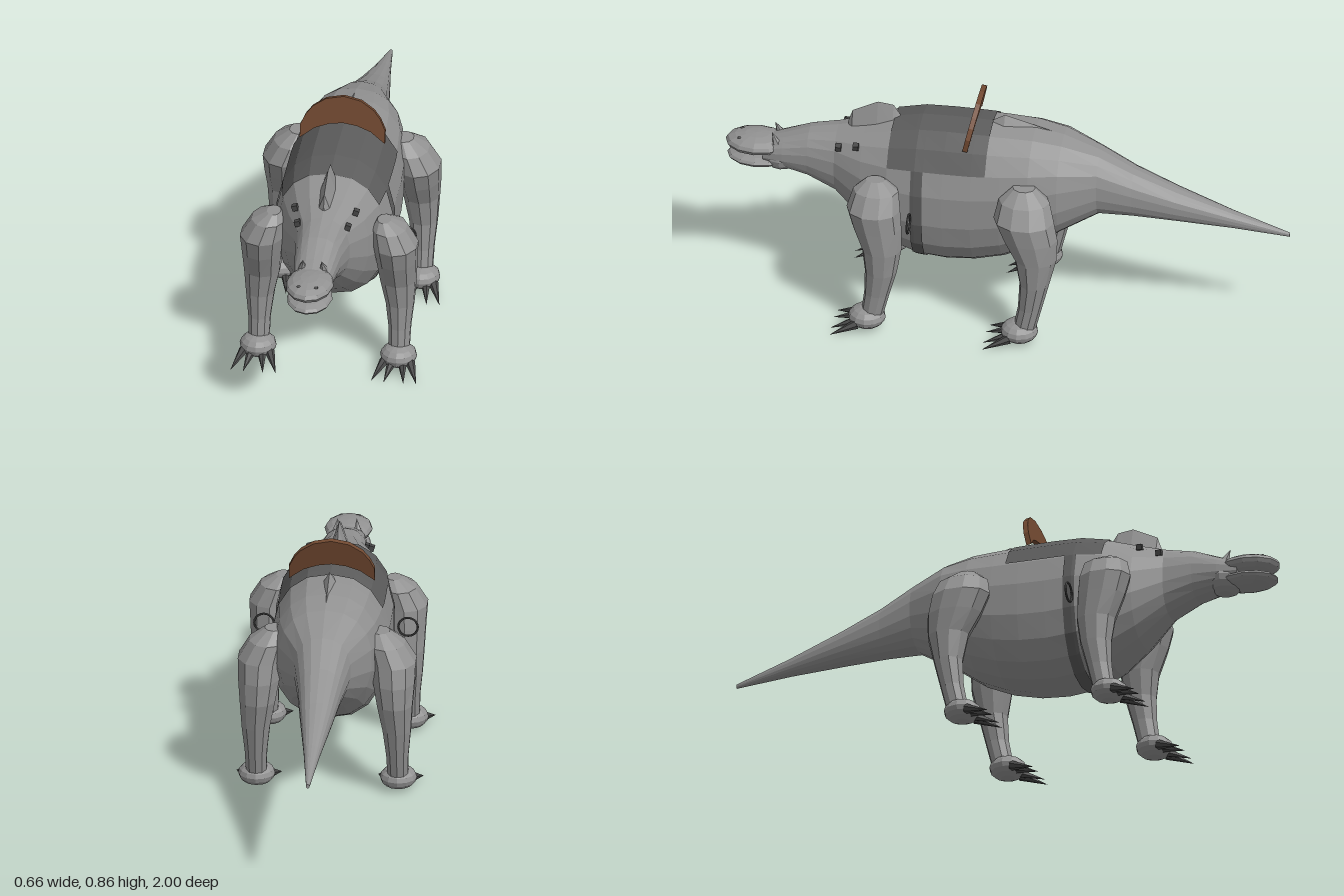
import * as THREE from 'three';

const mat = (name, color, extra = {}) => {
  const m = new THREE.MeshStandardMaterial({ color, flatShading: true, ...extra });
  m.name = name;
  return m;
};

// Body sections: z, top, bottom, half width
const BODY = [
  [-1, 0.4, 0.385, 0.006], [-0.8, 0.465, 0.405, 0.03], [-0.6, 0.54, 0.418, 0.058],
  [-0.45, 0.605, 0.425, 0.078], [-0.33, 0.67, 0.425, 0.1], [-0.2, 0.72, 0.35, 0.165],
  [-0.1, 0.74, 0.275, 0.19], [0, 0.745, 0.23, 0.2], [0.1, 0.747, 0.205, 0.206],
  [0.2, 0.748, 0.197, 0.206], [0.3, 0.745, 0.207, 0.205], [0.4, 0.725, 0.245, 0.19],
  [0.5, 0.695, 0.32, 0.15], [0.6, 0.67, 0.415, 0.098], [0.7, 0.65, 0.465, 0.082],
  [0.79, 0.615, 0.49, 0.072], [0.86, 0.59, 0.505, 0.06],
];
const SIDES = 18;

// Skin a list of rings (arrays of Vector3)
function loft(rings, closed = true) {
  const n = rings[0].length, pos = [], idx = [], wrap = closed ? n : n - 1;
  rings.forEach(r => r.forEach(p => pos.push(p.x, p.y, p.z)));
  for (let i = 0; i < rings.length - 1; i++) {
    for (let j = 0; j < wrap; j++) {
      const a = i * n + j, b = i * n + (j + 1) % n;
      idx.push(a, a + n, b, b, a + n, b + n);
    }
  }
  if (closed) {
    for (const k of [0, rings.length - 1]) {
      const c = rings[k].reduce((s, p) => s.add(p), new THREE.Vector3()).divideScalar(n);
      const ci = pos.length / 3;
      pos.push(c.x, c.y, c.z);
      for (let j = 0; j < n; j++) {
        const a = k * n + j, b = k * n + (j + 1) % n;
        k === 0 ? idx.push(ci, a, b) : idx.push(ci, b, a);
      }
    }
  }
  const g = new THREE.BufferGeometry();
  g.setAttribute('position', new THREE.Float32BufferAttribute(pos, 3));
  g.setIndex(idx);
  g.computeVertexNormals();
  return g;
}

const power = v => Math.sign(v) * Math.abs(v) ** 0.87;

// Body ring between two side indices, grown outward a little for fittings
function bodyRing([z, top, bottom, w], grow = 0, from = 0, to = SIDES - 1) {
  const pts = [], cy = (top + bottom) / 2, h = (top - bottom) / 2 + grow;
  for (let j = from; j <= to; j++) {
    const a = j / SIDES * Math.PI * 2;
    pts.push(new THREE.Vector3((w + grow) * power(Math.sin(a)), cy + h * power(Math.cos(a)), z));
  }
  return pts;
}

function sectionAt(z) {
  const i = Math.max(1, BODY.findIndex(s => s[0] >= z));
  const a = BODY[i - 1], b = BODY[i], t = (z - a[0]) / (b[0] - a[0]);
  return a.map((v, k) => v + (b[k] - v) * t);
}

// Band of cloth hugging the body from z0 to z1
function band(z0, z1, from, to) {
  const zs = [z0, ...BODY.map(s => s[0]).filter(z => z > z0 && z < z1), z1];
  return loft(zs.map(z => bodyRing(sectionAt(z), 0.004, from, to)), false);
}

// Leg sections from the top down: y, back z, front z, inner x, outer x
const FRONT_LEG = [
  [0.585, 0.4, 0.47, 0.17, 0.22], [0.555, 0.35, 0.51, 0.15, 0.275], [0.49, 0.34, 0.53, 0.155, 0.315],
  [0.42, 0.335, 0.51, 0.165, 0.31], [0.33, 0.335, 0.475, 0.175, 0.305], [0.24, 0.35, 0.463, 0.195, 0.298],
  [0.15, 0.375, 0.465, 0.207, 0.288], [0.07, 0.395, 0.475, 0.21, 0.285],
];
const HIND_LEG = [
  [0.605, -0.13, -0.05, 0.15, 0.22], [0.565, -0.185, -0.005, 0.14, 0.275], [0.5, -0.205, 0.01, 0.15, 0.315],
  [0.43, -0.218, -0.02, 0.16, 0.312], [0.35, -0.215, -0.065, 0.175, 0.305], [0.25, -0.19, -0.085, 0.195, 0.298],
  [0.15, -0.165, -0.08, 0.207, 0.288], [0.07, -0.145, -0.065, 0.21, 0.285],
];

export function createModel() {
  const root = new THREE.Group();
  root.name = 'saddledLizard';
  const hide = mat('hide', 0x929292);
  const cloth = mat('saddleCloth', 0x5c5c5c, { side: THREE.DoubleSide });
  const dark = mat('darkHorn', 0x484848);
  const leather = mat('leather', 0x704830);
  const add = (name, geo, m, parent = root) => {
    const mesh = new THREE.Mesh(geo, m);
    mesh.name = name;
    parent.add(mesh);
    return mesh;
  };
  const ball = (name, m, p, r, parent) => {
    const mesh = add(name, new THREE.SphereGeometry(1, 12, 8), m, parent);
    mesh.position.set(...p);
    mesh.scale.set(...r);
    return mesh;
  };
  // Cone from base point to tip
  const spike = (name, m, base, tip, r, parent) => {
    const a = new THREE.Vector3(...base), d = new THREE.Vector3(...tip).sub(a);
    const mesh = add(name, new THREE.ConeGeometry(r, d.length(), 6), m, parent);
    mesh.position.copy(a).addScaledVector(d, 0.5);
    mesh.quaternion.setFromUnitVectors(new THREE.Vector3(0, 1, 0), d.normalize());
  };

  add('bodyAndTail', loft(BODY.map(s => bodyRing(s))), hide);

  // Head with open flat jaws
  ball('upperJaw', hide, [0, 0.57, 0.888], [0.084, 0.034, 0.112]);
  ball('lowerJaw', hide, [0, 0.515, 0.886], [0.08, 0.024, 0.108]);
  ball('throat', hide, [0, 0.53, 0.8], [0.072, 0.055, 0.07]);

  // Ridges along the back: z, top, bottom, half width
  const ridge = (name, rows) => add(name, loft(rows.map(([z, t, b, w]) => [
    new THREE.Vector3(0, t, z), new THREE.Vector3(w, b, z),
    new THREE.Vector3(0, b - 0.02, z), new THREE.Vector3(-w, b, z)])), hide);
  ridge('shoulderCrest', [[0.38, 0.735, 0.7, 0.015], [0.405, 0.773, 0.7, 0.025],
    [0.46, 0.78, 0.69, 0.03], [0.55, 0.735, 0.67, 0.022], [0.565, 0.69, 0.66, 0.01]]);
  ridge('hipCrest', [[-0.16, 0.728, 0.71, 0.01], [-0.05, 0.76, 0.725, 0.022],
    [0.01, 0.776, 0.73, 0.028], [0.055, 0.75, 0.735, 0.015]]);

  for (const s of [1, -1]) {
    const side = s > 0 ? 'left' : 'right';

    // Legs, feet and claws
    for (const [kind, rows, fz] of [['Front', FRONT_LEG, 0.455], ['Hind', HIND_LEG, -0.085]]) {
      const leg = new THREE.Group();
      leg.name = `${side}${kind}Leg`;
      root.add(leg);
      add('limb', loft(rows.map(([y, z0, z1, x0, x1]) => Array.from({ length: 10 }, (_, j) => {
        const a = j / 10 * Math.PI * 2;
        return new THREE.Vector3(s * (x0 + x1) / 2 + (x1 - x0) / 2 * Math.sin(a), y,
          (z0 + z1) / 2 + (z1 - z0) / 2 * Math.cos(a));
      }))), hide, leg);
      ball('foot', hide, [s * 0.248, 0.05, fz], [0.065, 0.041, 0.066], leg);
      for (const [bx, tx, tz] of [[-0.045, -0.08, 0.12], [-0.018, -0.035, 0.125], [0.018, 0.035, 0.125], [0.045, 0.08, 0.12]]) {
        spike('claw', dark, [s * 0.248 + bx, 0.038, fz + 0.03], [s * 0.248 + tx, 0.005, fz + tz], 0.018, leg);
      }
    }

    // Two small eyes on each side
    for (const [x, y, z] of [[0.112, 0.655, 0.52], [0.093, 0.632, 0.585]]) {
      const eye = add(`${side}Eye`, new THREE.BoxGeometry(0.02, 0.02, 0.02), dark);
      eye.position.set(s * (x - 0.004), y, z);
      eye.rotation.z = s * -0.3;
    }

    // Brow horn and nostril
    spike(`${side}BrowHorn`, hide, [s * 0.038, 0.585, 0.81], [s * 0.033, 0.632, 0.83], 0.018);
    ball(`${side}Nostril`, dark, [s * 0.03, 0.594, 0.946], [0.008, 0.004, 0.008]);

    // Stirrup ring
    const ring = add(`${side}Stirrup`, new THREE.TorusGeometry(0.034, 0.004, 6, 20), dark);
    ring.position.set(s * 0.252, 0.45, 0.308);
  }

  // Saddle cloth over the back and girth strap round the belly
  add('saddleCloth', band(0.05, 0.4, -3, 3), cloth);
  add('girthStrap', band(0.27, 0.312, 0, SIDES), cloth);

  // Curved saddle back
  const half = [[0.15, -0.003], [0.15, 0.046], [0.132, 0.085], [0.108, 0.116], [0.062, 0.147],
    [0, 0.16], [0, 0.062], [0.05, 0.055], [0.1, 0.036]];
  const outer = half.slice(0, 6), inner = half.slice(6);
  const flip = list => list.map(([x, y]) => [-x, y]).reverse();
  const outline = [...outer, ...flip(outer).slice(1), ...flip(inner), ...inner.slice(1)];
  const shape = new THREE.Shape(outline.map(p => new THREE.Vector2(...p)));
  const geo = new THREE.ExtrudeGeometry(shape, { depth: 0.018, bevelEnabled: false });
  geo.translate(0, 0, -0.009);
  const back = add('saddleBack', geo, leather);
  back.position.set(0, 0.708, 0.126);
  back.rotation.x = -0.22;
  return root;
}
